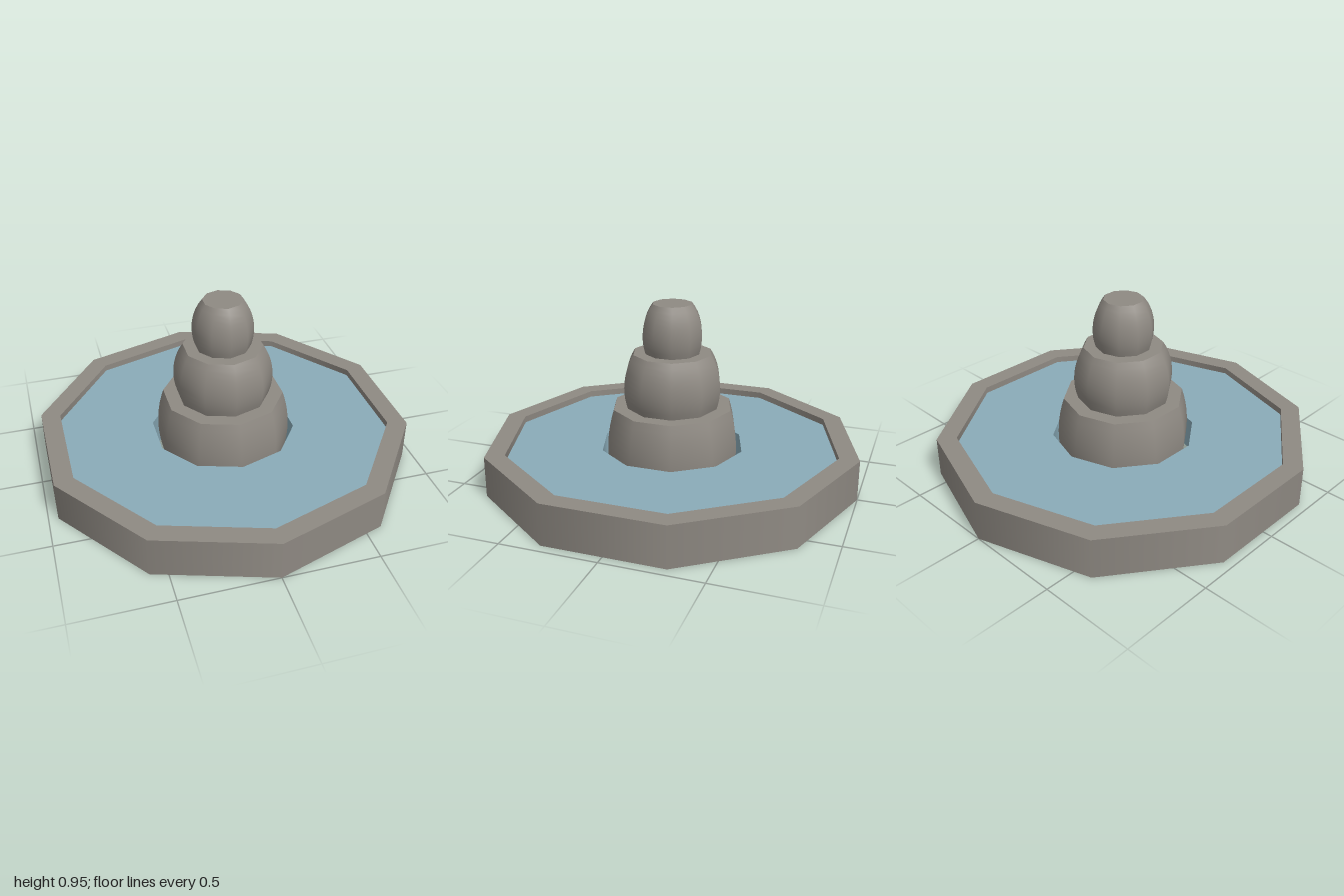
import * as THREE from 'three';

const SIDES = 10;
const stone = new THREE.MeshStandardMaterial({ color: 0x8f8a83 });
stone.name = 'stone';
const water = new THREE.MeshStandardMaterial({ color: 0x8aabb8 });
water.name = 'water';

// One smooth band turned about y; separate bands keep the edges between them sharp.
// Rising profiles face out, falling ones face in; inward ones face up, outward ones down.
function band(name, material, points) {
  const geometry = new THREE.LatheGeometry(points.map(([r, y]) => new THREE.Vector2(r, y)), SIDES);
  const mesh = new THREE.Mesh(geometry, material);
  mesh.name = name;
  return mesh;
}

// Slice of an upright ellipse between two heights
function barrel(radius, halfHeight, centre, y0, y1, steps = 10) {
  const points = [];
  for (let i = 0; i <= steps; i++) {
    const y = y0 + (y1 - y0) * i / steps;
    points.push([radius * Math.sqrt(1 - ((y - centre) / halfHeight) ** 2), y]);
  }
  return points;
}

export function createModel() {
  const model = new THREE.Group();
  model.name = 'fountain';

  // Ten-sided basin with a round opening in its floor
  const basin = new THREE.Group();
  basin.name = 'basin';
  basin.add(
    band('basinFloor', stone, [[0.385, 0], [1, 0]]),
    band('basinOuterWall', stone, [[1, 0], [1, 0.215]]),
    band('basinRim', stone, [[1, 0.215], [0.895, 0.215]]),
    band('basinInnerWall', stone, [[0.895, 0.215], [0.895, 0.17]])
  );

  // Ring of water around the centrepiece
  const pool = new THREE.Group();
  pool.name = 'pool';
  pool.add(
    band('waterSurface', water, [[0.895, 0.18], [0.385, 0.18]]),
    band('waterInnerEdge', water, [[0.385, 0.18], [0.385, 0]])
  );

  // Three stacked barrel-shaped tiers, each with a flat top
  const centrepiece = new THREE.Group();
  centrepiece.name = 'centrepiece';
  const tiers = [
    { radius: 0.355, half: 0.5, centre: 0.183, y0: 0, y1: 0.4, inner: 0.24 },
    { radius: 0.262, half: 0.3, centre: 0.51, y0: 0.4, y1: 0.69, inner: 0.14 },
    { radius: 0.16, half: 0.22, centre: 0.783, y0: 0.69, y1: 0.95, inner: 0 },
  ];
  tiers.forEach((t, i) => {
    const side = barrel(t.radius, t.half, t.centre, t.y0, t.y1);
    const top = side[side.length - 1][0];
    centrepiece.add(
      band(`tier${i + 1}`, stone, side),
      band(`tierTop${i + 1}`, stone, [[top, t.y1], [t.inner, t.y1]])
    );
  });

  // Hollow underside of the lowest tier
  const foot = barrel(0.355, 0.5, 0.183, 0, 0.4)[0][0];
  centrepiece.add(
    band('footRing', stone, [[0.22, 0], [foot, 0]]),
    band('hollowWall', stone, [[0.22, 0.39], [0.22, 0]]),
    band('hollowCeiling', stone, [[0, 0.39], [0.22, 0.39]])
  );

  model.add(basin, pool, centrepiece);
  return model;
}
